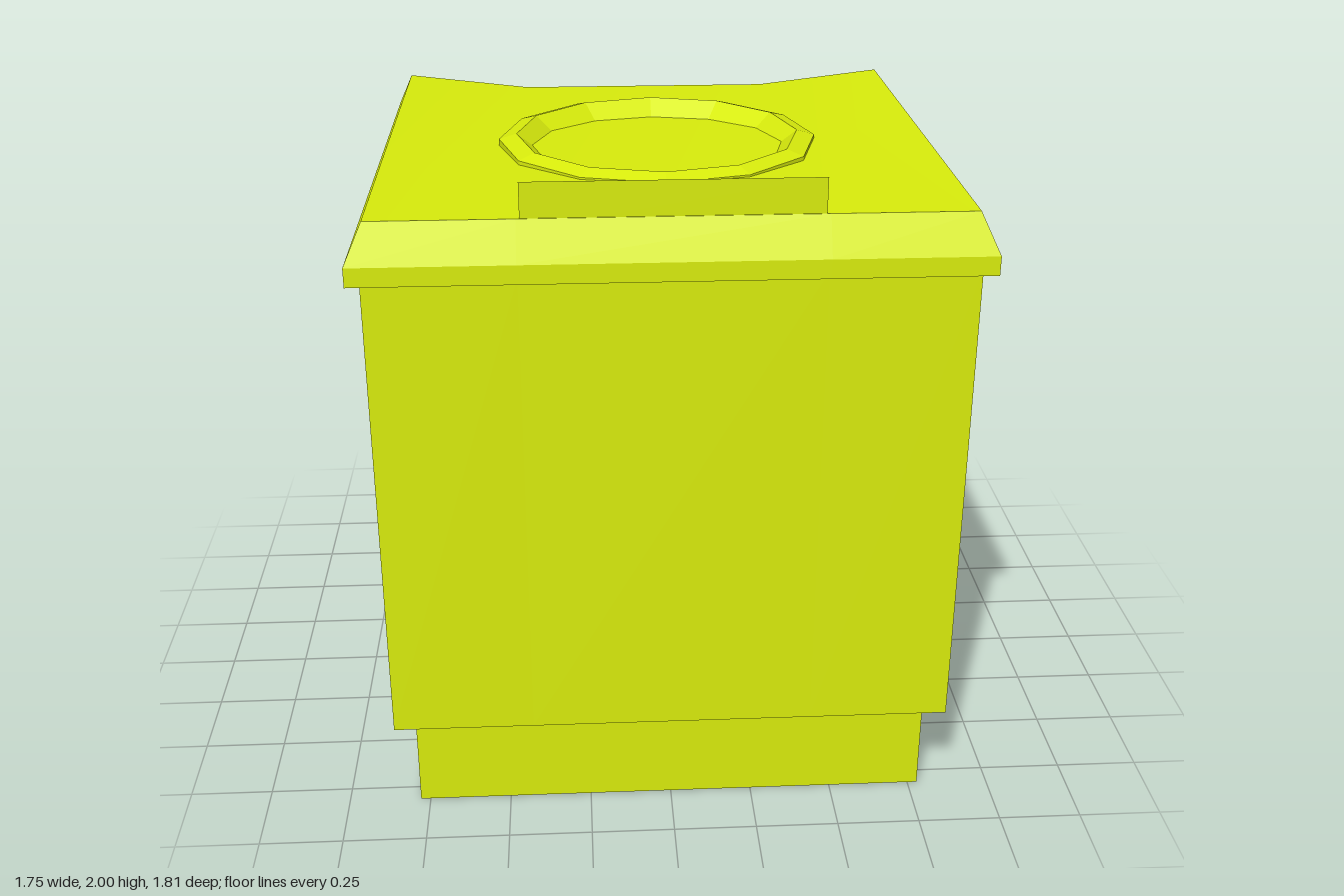
import * as THREE from 'three';
import { toCreasedNormals } from 'three/addons/utils/BufferGeometryUtils.js';

const MID = 0.42; // half width of the bulged middle section at the back

// One horizontal outline, counter-clockwise from above.
// bulge pushes the middle of the back outwards, dip lowers it.
function outline({ y, hx, front, back, bulge = 0, dip = 0 }) {
  return [
    [-hx, y, front], [-MID, y, front], [MID, y, front], [hx, y, front],
    [hx, y, back], [MID, y - dip, back - bulge], [-MID, y - dip, back - bulge], [-hx, y, back],
  ];
}

// Closed solid through a stack of outlines, bottom to top
function loft(levels) {
  const rings = levels.map(outline);
  const pos = [];
  const quad = (a, b, c, d) => pos.push(...a, ...b, ...c, ...a, ...c, ...d);
  for (let k = 0; k < rings.length - 1; k++) {
    const lo = rings[k], hi = rings[k + 1];
    for (let i = 0; i < 8; i++) {
      const j = (i + 1) % 8;
      quad(lo[i], lo[j], hi[j], hi[i]);
    }
  }
  const bottom = rings[0], top = rings[rings.length - 1];
  for (let i = 0; i < 3; i++) {
    quad(top[i], top[i + 1], top[6 - i], top[7 - i]);
    quad(bottom[7 - i], bottom[6 - i], bottom[i + 1], bottom[i]);
  }
  const geo = new THREE.BufferGeometry();
  geo.setAttribute('position', new THREE.Float32BufferAttribute(pos, 3));
  geo.computeVertexNormals();
  return toCreasedNormals(geo, 0.35);
}

export function createModel() {
  const group = new THREE.Group();
  const smooth = new THREE.MeshStandardMaterial({ color: 0xd8ec0c });
  const flat = new THREE.MeshStandardMaterial({ color: 0xd8ec0c, flatShading: true });
  const add = (name, geometry, material) => {
    const mesh = new THREE.Mesh(geometry, material);
    mesh.name = name;
    group.add(mesh);
    return mesh;
  };

  // Recessed plinth
  add('plinth', loft([
    { y: 0, hx: 0.78, front: 0.81, back: -0.755 },
    { y: 0.3, hx: 0.78, front: 0.81, back: -0.755 },
  ]), smooth);

  // Main box, its back swelling towards the top
  add('body', loft([
    { y: 0.3, hx: 0.84, front: 0.865, back: -0.81 },
    { y: 1.74, hx: 0.84, front: 0.865, back: -0.81, bulge: 0.05, dip: 0.06 },
  ]), smooth);

  // Overhanging lid with bevelled rim
  add('lid', loft([
    { y: 1.735, hx: 0.875, front: 0.905, back: -0.855, bulge: 0.05, dip: 0.06 },
    { y: 1.79, hx: 0.875, front: 0.905, back: -0.855, bulge: 0.05, dip: 0.06 },
    { y: 1.9, hx: 0.825, front: 0.85, back: -0.8, bulge: 0.05, dip: 0.06 },
  ]), smooth);

  // Twelve-sided raised ring on the lid
  const profile = [[0.49, 1.84], [0.49, 1.892], [0.435, 1.908], [0.365, 1.853]]
    .map(([r, y]) => new THREE.Vector2(r, y));
  add('topRing', new THREE.LatheGeometry(profile, 12), flat).position.z = 0.03;

  // Wedge along the front edge of the lid
  const side = new THREE.Shape([[0.6, 1.87], [0.847, 1.87], [0.847, 2], [0.627, 1.927]]
    .map(([z, y]) => new THREE.Vector2(z, y)));
  const wedge = new THREE.ExtrudeGeometry(side, { depth: 0.82, bevelEnabled: false });
  wedge.rotateY(-Math.PI / 2).translate(0.41, 0, 0);
  add('frontWedge', wedge, flat);

  return group;
}
